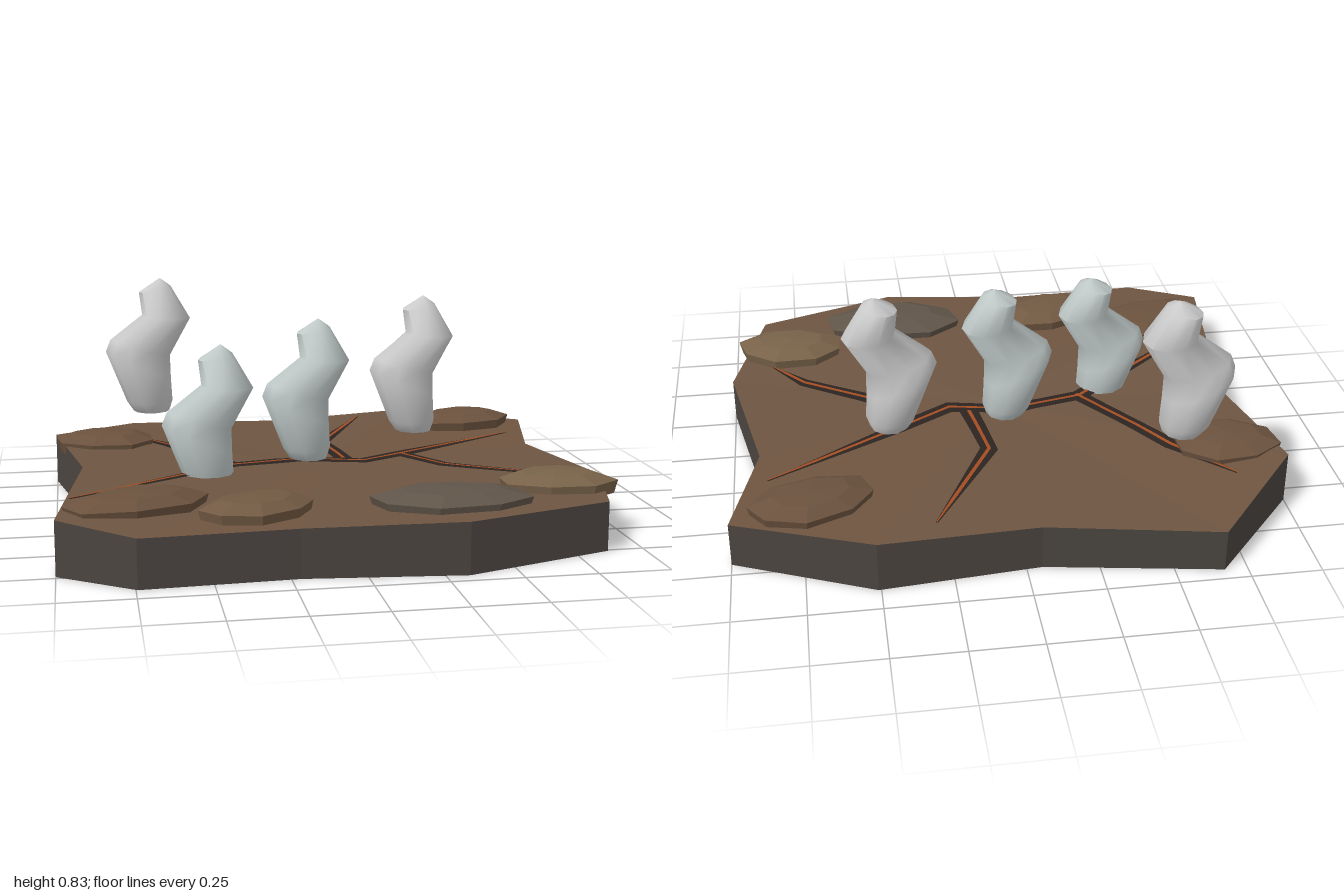
import * as THREE from 'three';
import { toCreasedNormals } from 'three/addons/utils/BufferGeometryUtils.js';

// ground corners: x, z, height
const OUTLINE = [
  [-1, -0.57, 0.195], [-0.67, -0.95, 0.155], [-0.055, -0.85, 0.165], [0.51, -0.9, 0.185],
  [1, -0.69, 0.165], [0.895, -0.255, 0.155], [1, 0.305, 0.16], [0.87, 0.76, 0.175],
  [0.33, 0.945, 0.18], [-0.22, 0.89, 0.168], [-0.745, 0.915, 0.168], [-1, 0.735, 0.19],
  [-0.9, -0.055, 0.175],
];
const CENTRE_Y = 0.165;

const material = (color, options = {}) => new THREE.MeshStandardMaterial({ color, ...options });
const flat = { flatShading: true, side: THREE.DoubleSide };

function makeMesh(name, geometry, mat) {
  const mesh = new THREE.Mesh(geometry, mat);
  mesh.name = name;
  return mesh;
}

function geometryFrom(positions, index) {
  const g = new THREE.BufferGeometry();
  g.setAttribute('position', new THREE.Float32BufferAttribute(positions, 3));
  g.setIndex(index);
  g.computeVertexNormals();
  return g;
}

// closed skin over rings of n points, capped by a bottom and a top point
function loft(rings, bottom, top) {
  const n = rings[0].length, positions = [...rings.flat(2), ...bottom, ...top], index = [];
  const b = rings.length * n, t = b + 1, last = b - n;
  for (let i = 0; i < n; i++) {
    const j = (i + 1) % n;
    index.push(b, i, j, t, last + j, last + i);
    for (let r = 0; r < last; r += n) {
      index.push(r + i, r + n + i, r + j, r + j, r + n + i, r + n + j);
    }
  }
  return geometryFrom(positions, index);
}

// height of the faceted ground at x, z
function groundY(x, z) {
  for (let i = 0; i < OUTLINE.length; i++) {
    const a = OUTLINE[i], b = OUTLINE[(i + 1) % OUTLINE.length];
    const d = a[0] * b[1] - a[1] * b[0];
    const u = (x * b[1] - z * b[0]) / d, v = (a[0] * z - a[1] * x) / d;
    if (u >= -1e-6 && v >= -1e-6) return CENTRE_Y + u * (a[2] - CENTRE_Y) + v * (b[2] - CENTRE_Y);
  }
  return CENTRE_Y;
}

// open slab: fan-shaped top and a wall around it
function createGround() {
  const group = new THREE.Group();
  group.name = 'ground';
  const n = OUTLINE.length, top = [0, CENTRE_Y, 0], wall = [], topIndex = [], wallIndex = [];
  OUTLINE.forEach(([x, z, y], i) => {
    const j = (i + 1) % n;
    top.push(x, y, z);
    wall.push(x, 0, z, x, y, z);
    topIndex.push(0, j + 1, i + 1);
    wallIndex.push(2 * i, 2 * i + 1, 2 * j, 2 * j, 2 * i + 1, 2 * j + 1);
  });
  group.add(makeMesh('groundTop', geometryFrom(top, topIndex), material(0x6e5541, flat)));
  group.add(makeMesh('groundWall', geometryFrom(wall, wallIndex), material(0x4b4540, flat)));
  return group;
}

// ribbon along a path of [x, z, half width], draped over the ground
function ribbon(path, lift, widthOf) {
  const positions = [], index = [], steps = 6;
  const side = path.map((p, i) => {
    const a = path[Math.max(i - 1, 0)], b = path[Math.min(i + 1, path.length - 1)];
    const l = Math.hypot(b[0] - a[0], b[1] - a[1]);
    return [-(b[1] - a[1]) / l, (b[0] - a[0]) / l];
  });
  for (let i = 0; i < path.length - 1; i++) {
    for (let s = i ? 1 : 0; s <= steps; s++) {
      const t = s / steps, mix = (a, b) => a + (b - a) * t;
      const p = path[i].map((v, k) => mix(v, path[i + 1][k]));
      const w = widthOf(p[2]);
      const dx = mix(side[i][0], side[i + 1][0]) * w, dz = mix(side[i][1], side[i + 1][1]) * w;
      for (const q of [1, -1]) {
        const x = p[0] + q * dx, z = p[1] + q * dz;
        positions.push(x, groundY(x, z) + lift, z);
      }
      const k = positions.length / 3 - 4;
      if (k >= 0) index.push(k, k + 2, k + 1, k + 1, k + 2, k + 3);
    }
  }
  return geometryFrom(positions, index);
}

// rough flat stone: a rim, a bevel and a low crown
function createRock([x, z, rx, rz, turn, color]) {
  const n = 8;
  const ring = (scale, y) => Array.from({ length: n }, (_, i) => {
    const a = (i + 0.3) / n * Math.PI * 2, r = scale * (1 + 0.05 * Math.sin(i * 2.4 + x * 9));
    return [Math.cos(a) * rx * r, y, Math.sin(a) * rz * r];
  });
  const rock = makeMesh('rock',
    loft([ring(0.94, 0.152), ring(1, 0.2), ring(0.62, 0.228)], [0, 0.15, 0], [0, 0.236, 0]),
    material(color, { flatShading: true }));
  rock.position.set(x, 0, z);
  rock.rotation.y = turn;
  return rock;
}

// bent smoke puff: tilted rings [left x, left y, right x, right y, half depth, z shift]
function puffGeometry() {
  const sections = [
    [-0.107, 0.175, 0.037, 0.175, 0.078, 0],
    [-0.134, 0.215, 0.05, 0.215, 0.102, 0],
    [-0.214, 0.42, 0.045, 0.31, 0.115, 0],
    [-0.195, 0.468, 0.043, 0.4, 0.098, 0],
    [-0.065, 0.565, 0.128, 0.548, 0.104, -0.015],
    [-0.075, 0.655, 0.052, 0.68, 0.075, -0.026],
  ];
  const n = 10;
  const rings = sections.map(([lx, ly, rx, ry, w, dz]) => Array.from({ length: n }, (_, i) => {
    const a = i / n * Math.PI * 2, t = (1 + Math.cos(a)) / 2;
    return [lx + (rx - lx) * t, ly + (ry - ly) * t, dz + Math.sin(a) * w];
  }));
  return toCreasedNormals(loft(rings, [-0.035, 0.175, 0], [0.01, 0.71, -0.04]), 1.05);
}

export function createModel() {
  const model = new THREE.Group();
  model.add(createGround());

  // branching cracks with a glowing line inside
  const cracks = [
    [[-0.95, 0.46, 0.006], [-0.34, -0.01, 0.035], [-0.06, -0.07, 0.035], [0.17, -0.02, 0.037],
      [0.37, -0.14, 0.035], [0.865, -0.435, 0.004]],
    [[-0.79, -0.64, 0.004], [-0.6, -0.42, 0.03], [-0.33, 0, 0.035]],
    [[0.3, -0.795, 0.004], [0.06, -0.345, 0.033], [0.1, -0.06, 0.035]],
    [[0.34, -0.12, 0.035], [0.46, 0.085, 0.033], [0.72, 0.25, 0.025], [0.84, 0.39, 0.004]],
  ];
  const dark = material(0x2c2420, { side: THREE.DoubleSide });
  const glow = material(0xa34d22, { side: THREE.DoubleSide });
  for (const path of cracks) {
    model.add(makeMesh('crack', ribbon(path, 0.004, w => w), dark));
    model.add(makeMesh('crackGlow', ribbon(path, 0.007, w => Math.min(w * 0.5, 0.007)), glow));
  }

  // flat stones: x, z, radii, turn, colour
  const rocks = [
    [-0.8, -0.44, 0.2, 0.145, -0.1, 0x6b523e], [0.715, -0.62, 0.225, 0.135, 0.25, 0x6b523e],
    [-0.725, 0.56, 0.26, 0.15, 0.35, 0x6b523e], [-0.335, 0.69, 0.205, 0.135, 0.35, 0x725a43],
    [0.33, 0.69, 0.285, 0.155, -0.05, 0x605549], [0.765, 0.51, 0.215, 0.14, -0.1, 0x786249],
  ];
  for (const rock of rocks) model.add(createRock(rock));

  // smoke puffs rising along the cracks
  const puff = puffGeometry();
  const pale = material(0xcccccc), cool = material(0xc0cac9);
  const puffs = [
    [-0.578, 0.123, -0.507, pale], [-0.396, -0.064, 0.092, cool],
    [0, 0, -0.085, cool], [0.449, 0.064, -0.229, pale],
  ];
  for (const [x, y, z, mat] of puffs) {
    const mesh = makeMesh('smokePuff', puff, mat);
    mesh.position.set(x, y, z);
    model.add(mesh);
  }
  return model;
}
